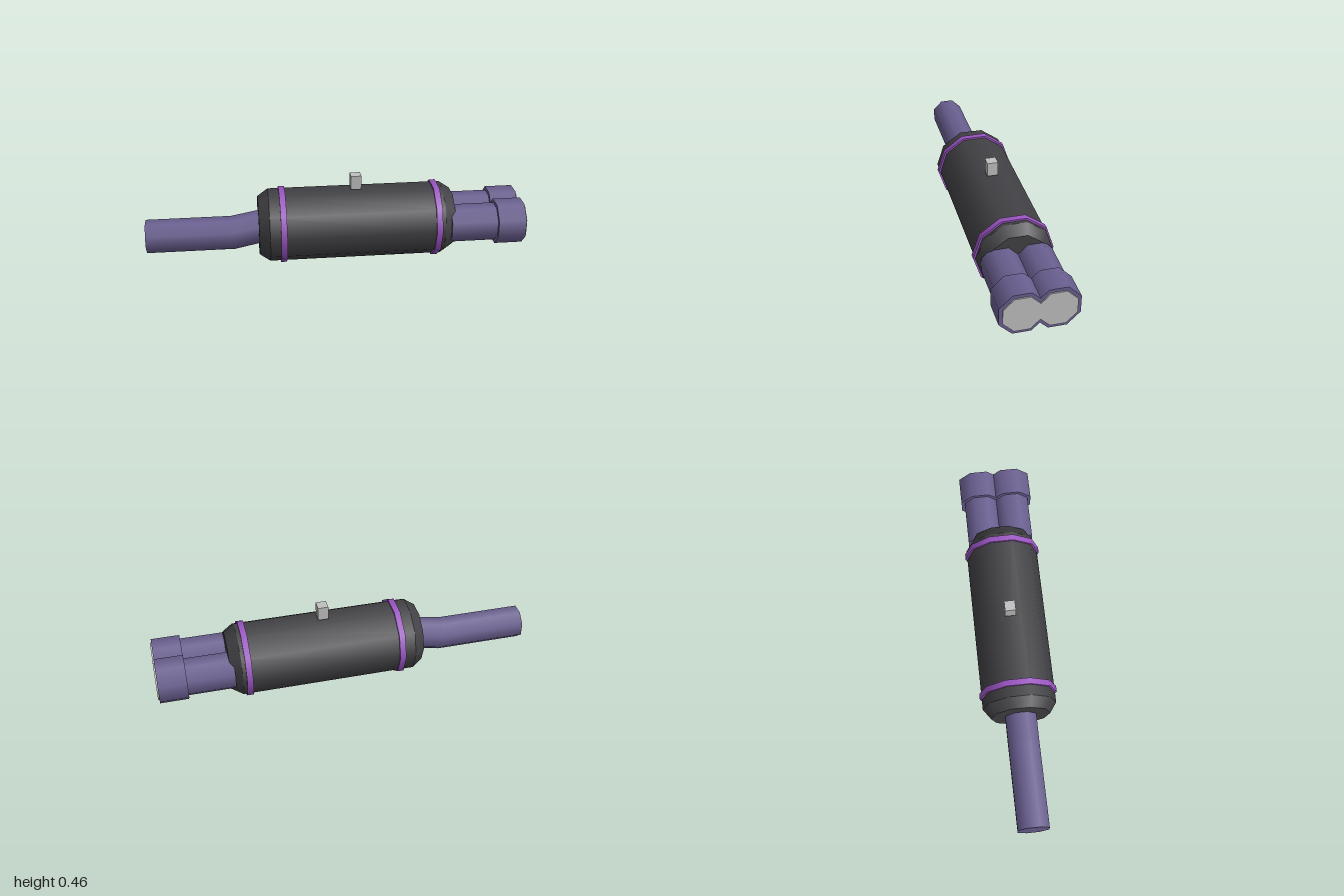
import * as THREE from 'three';

const AXIS_Y = 0.195;

const material = (name, color) => {
  const m = new THREE.MeshStandardMaterial({ color });
  m.name = name;
  return m;
};

// Prism along x from x0 to x1; even-sided pipes get flats on top and bottom
function prism(x0, x1, r0, r1, sides, rows = 1, open = false) {
  const start = sides === 8 ? Math.PI / 8 : 0;
  const g = new THREE.CylinderGeometry(r1, r0, x1 - x0, sides, rows, open, start);
  g.rotateZ(-Math.PI / 2);
  g.translate((x0 + x1) / 2, 0, 0);
  return g;
}

export function createModel() {
  const model = new THREE.Group();
  model.name = 'muffler';
  const dark = material('dark casing', 0x414044);
  const pipe = material('violet pipe', 0x6a5f90);
  const purple = material('purple band', 0x9a55c2);
  const grey = material('light grey', 0xbfbfbf);

  const add = (name, geometry, mat, y = AXIS_Y, z = 0) => {
    const mesh = new THREE.Mesh(geometry, mat);
    mesh.name = name;
    mesh.position.set(0, y, z);
    model.add(mesh);
    return mesh;
  };

  // Ten-sided casing with chamfered ends
  const R = 0.194, endR = 0.156;
  add('casing', prism(-0.355, 0.565, R, R, 10, 1, true), dark);
  add('casingInletEnd', prism(-0.41, -0.355, endR, R, 10), dark);
  add('casingOutletEnd', prism(0.565, 0.622, R, endR, 10), dark);

  // Clamping bands
  for (const x of [-0.283, 0.53]) {
    add('band', prism(x - 0.016, x + 0.016, 0.204, 0.204, 10), purple);
  }

  // Inlet pipe: straight run, then a bend up into the casing
  const inlet = prism(-1, -0.38, 0.088, 0.088, 8, 2);
  const p = inlet.attributes.position;
  for (let i = 0; i < p.count; i++) {
    const x = p.getX(i), y = p.getY(i);
    if (x > -0.9 && x < -0.5) p.setX(i, -0.545 - y * 0.1);
    if (x > -0.5) p.setY(i, y + 0.033);
  }
  add('inletPipe', inlet, pipe, 0.16);

  // Twin outlet pipes with wider tips and closed ends
  for (const z of [0.085, -0.085]) {
    add('outletPipe', prism(0.6, 0.86, 0.0995, 0.0995, 8), pipe, AXIS_Y, z);
    add('outletTip', prism(0.845, 0.993, 0.119, 0.119, 8), pipe, AXIS_Y, z);
    add('outletOpening', prism(0.991, 1, 0.1, 0.1, 8), grey, AXIS_Y, z);
  }

  // Small mounting block above the casing
  const block = new THREE.BoxGeometry(0.055, 0.075, 0.056);
  block.translate(0.107, 0, 0);
  add('mountingBlock', block, grey, 0.426);

  return model;
}
